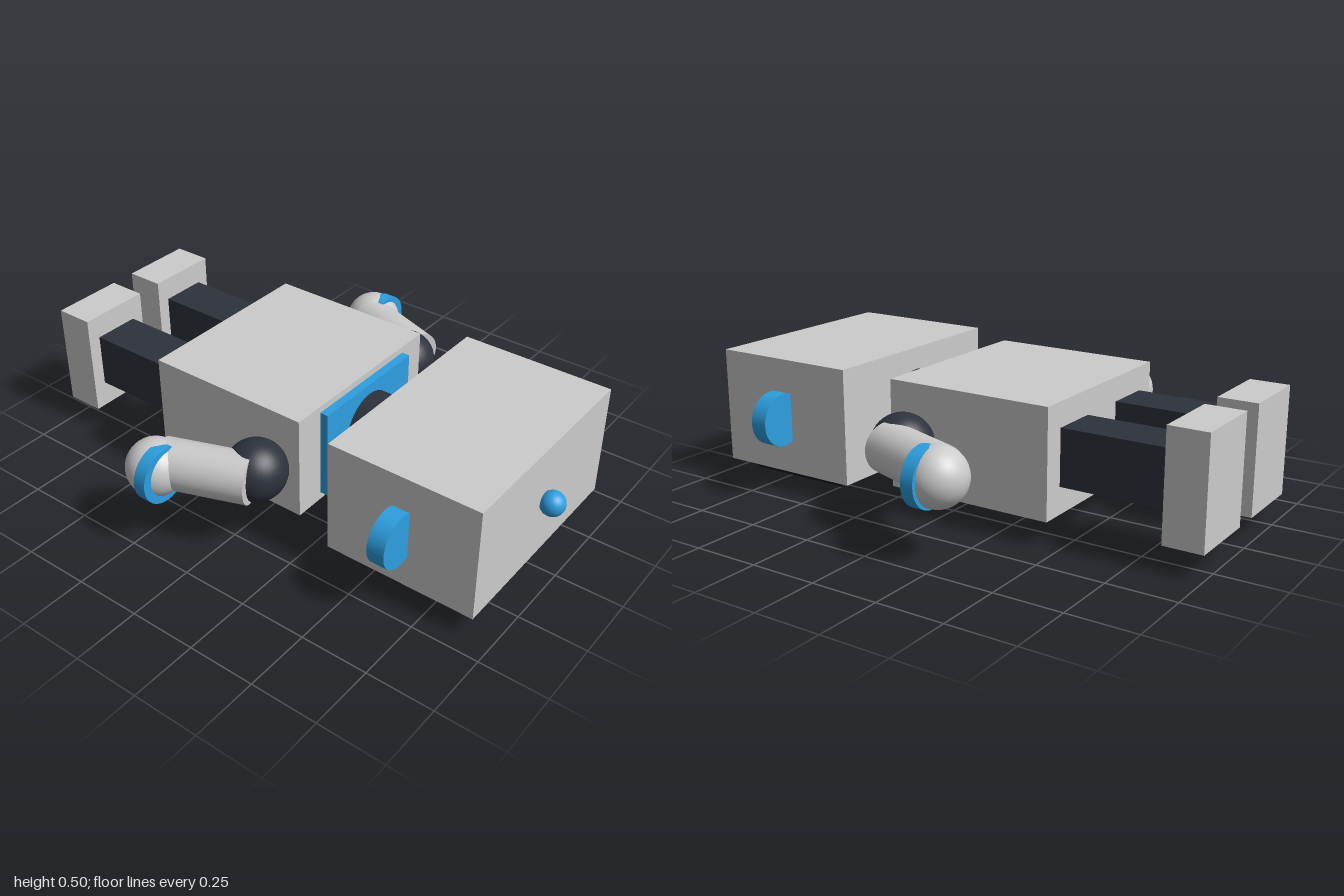
import * as THREE from 'three';

const mat = (color) => new THREE.MeshStandardMaterial({ color });

export function createModel() {
  const root = new THREE.Group();
  root.name = 'lyingRobot';
  const grey = mat(0xcccccc), dark = mat(0x2d323c), black = mat(0x14181e), blue = mat(0x2d9fe0);

  const add = (name, geo, material, x, y, z) => {
    const m = new THREE.Mesh(geo, material);
    m.name = name;
    m.position.set(x, y, z);
    root.add(m);
    return m;
  };
  // Box given by its limits on each axis
  const box = (name, material, [x0, x1], [y0, y1], [z0, z1]) =>
    add(name, new THREE.BoxGeometry(x1 - x0, y1 - y0, z1 - z0), material,
      (x0 + x1) / 2, (y0 + y1) / 2, (z0 + z1) / 2);
  const ball = (name, material, r, x, y, z) =>
    add(name, new THREE.SphereGeometry(r, 32, 20), material, x, y, z);
  // Round disc or rod whose axis runs along z
  const disc = (name, material, r, depth, x, y, z) =>
    add(name, new THREE.CylinderGeometry(r, r, depth, 32).rotateX(Math.PI / 2), material, x, y, z);

  // Head, lying face down with its crown toward +z
  box('head', grey, [-0.42, 0.42], [0.075, 0.505], [0.35, 0.925]);
  box('faceScreen', black, [-0.355, 0.355], [0.035, 0.077], [0.43, 0.855]);
  ball('antennaBall', blue, 0.045, 0, 0.29, 0.955);

  // Neck, collar and torso
  disc('neck', dark, 0.131, 0.17, 0, 0.29, 0.27);
  box('collar', blue, [-0.245, 0.245], [0.12, 0.46], [0.18, 0.216]);
  box('torso', grey, [-0.362, 0.362], [0.09, 0.485], [-0.455, 0.185]);

  // Chest panel with a small light
  box('chestPanel', black, [-0.225, 0.225], [0.062, 0.092], [-0.258, -0.012]);
  box('lightMount', black, [-0.09, 0.09], [0.052, 0.064], [-0.16, -0.078]);
  box('chestLight', blue, [-0.06, 0.06], [0.038, 0.056], [-0.136, -0.1]);

  for (const [side, s] of [['left', 1], ['right', -1]]) {
    const span = (a, b) => (s > 0 ? [a, b] : [-b, -a]);

    // Eye and ear
    const eye = ball(side + 'Eye', blue, 1, s * 0.165, 0.021, 0.69);
    eye.scale.set(0.077, 0.021, 0.04);
    disc(side + 'Ear', blue, 0.098, 0.065, s * 0.46, 0.29, 0.638);

    // Arm: shoulder ball, slanted rod, hand ball and wrist band
    ball(side + 'Shoulder', dark, 0.112, s * 0.45, 0.29, 0.068);
    const arm = disc(side + 'Arm', grey, 0.091, 0.32, s * 0.555, 0.29, -0.06);
    arm.rotation.y = -s * 0.35;
    ball(side + 'Hand', grey, 0.105, s * 0.64, 0.285, -0.22);
    disc(side + 'WristBand', blue, 0.105, 0.048, s * 0.653, 0.282, -0.184);

    // Leg and foot
    box(side + 'Leg', dark, span(0.1, 0.28), [0.19, 0.395], [-0.86, -0.45]);
    box(side + 'Foot', grey, span(0.05, 0.33), [0.09, 0.485], [-1, -0.855]);
  }
  return root;
}
